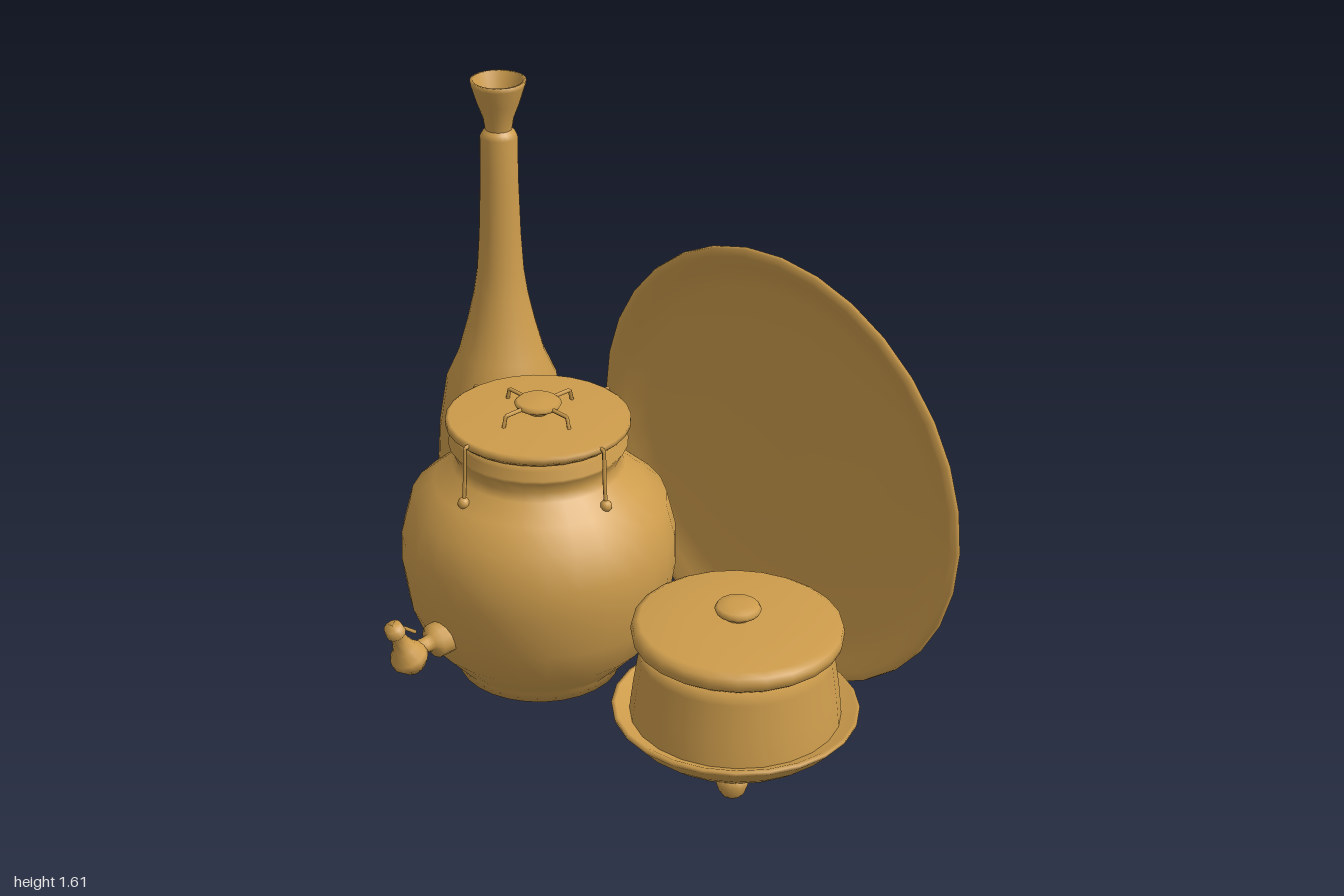
import * as THREE from 'three';

const clay = new THREE.MeshStandardMaterial({ color: 0xcd9c4c });
clay.name = 'ochre clay';

const add = (parent, name, geometry, x = 0, y = 0, z = 0) => {
  const mesh = new THREE.Mesh(geometry, clay);
  mesh.name = name;
  mesh.position.set(x, y, z);
  parent.add(mesh);
  return mesh;
};

// profile is [radius, height] from the bottom axis up to the top axis
const turned = (profile, sides = 24) =>
  new THREE.LatheGeometry(profile.map(([r, y]) => new THREE.Vector2(r, y)), sides);

// thin rod bent through a few points
const rod = (points, radius) => {
  const path = new THREE.CurvePath();
  const v = points.map((p) => new THREE.Vector3(...p));
  for (let i = 1; i < v.length; i++) path.add(new THREE.LineCurve3(v[i - 1], v[i]));
  return new THREE.TubeGeometry(path, 24, radius, 6);
};

const group = (parent, name, x, z) => {
  const g = new THREE.Group();
  g.name = name;
  g.position.set(x, 0, z);
  parent.add(g);
  return g;
};

function buildBottle(root) {
  const bottle = group(root, 'bottle', -0.79, -0.385);
  add(bottle, 'bottleBody', turned([
    [0, 0.01], [0.16, 0.01], [0.165, 0.03], [0.18, 0.07], [0.207, 0.14], [0.209, 0.3], [0.2, 0.47],
    [0.175, 0.63], [0.135, 0.72], [0.105, 0.83], [0.085, 0.92], [0.073, 1.0], [0.065, 1.12],
    [0.059, 1.3], [0.058, 1.44], [0.05, 1.455], [0.04, 1.465],
  ]));
  add(bottle, 'bottleMouth', turned([
    [0.04, 1.455], [0.047, 1.5], [0.066, 1.55], [0.083, 1.605], [0.086, 1.62],
    [0.076, 1.62], [0.055, 1.55], [0.03, 1.49], [0, 1.48],
  ]));
}

function buildJar(root) {
  const jar = group(root, 'jar', -0.195, -0.005);
  add(jar, 'jarBody', turned([
    [0, 0.01], [0.245, 0.01], [0.252, 0.04], [0.28, 0.07], [0.345, 0.14], [0.39, 0.25], [0.41, 0.38],
    [0.408, 0.47], [0.38, 0.58], [0.31, 0.64], [0.255, 0.69], [0.24, 0.715], [0.255, 0.75],
    [0.265, 0.765], [0.245, 0.785], [0.25, 0.82], [0, 0.825],
  ], 28));
  add(jar, 'jarLid', turned([
    [0, 0.81], [0.255, 0.81], [0.272, 0.825], [0.272, 0.84], [0.262, 0.846], [0.1, 0.852], [0, 0.854],
  ], 28));

  // Knob with four bent legs, and four hooks hanging over the rim
  add(jar, 'lidKnob', turned([
    [0, 0.85], [0.028, 0.85], [0.03, 0.872], [0.064, 0.876], [0.07, 0.886], [0.06, 0.895], [0, 0.897],
  ], 16));
  for (let i = 0; i < 4; i++) {
    const arm = group(jar, 'clasp', 0, 0);
    arm.rotation.y = (i * Math.PI) / 2;
    add(arm, 'knobLeg', rod([[0.05, 0.884, 0], [0.125, 0.884, 0], [0.135, 0.845, 0]], 0.006));
    add(arm, 'hook', rod([[0.255, 0.838, 0], [0.282, 0.836, 0], [0.284, 0.74, 0], [0.29, 0.66, 0]], 0.006));
    add(arm, 'hookEnd', new THREE.SphereGeometry(0.018, 10, 8), 0.291, 0.66, 0);
  }

  // Tap
  const tap = group(jar, 'tap', 0.005, 0);
  const stem = add(tap, 'tapStem', turned([
    [0.052, 0], [0.052, 0.045], [0.026, 0.058], [0.023, 0.08], [0.025, 0.12], [0, 0.12],
  ], 12), 0, 0.25, 0.375);
  stem.rotation.x = Math.PI / 2;
  const spout = add(tap, 'tapSpout', turned([
    [0, 0], [0.035, 0.006], [0.057, 0.04], [0.055, 0.06], [0.035, 0.09], [0.025, 0.12],
    [0.022, 0.145], [0.03, 0.155], [0.027, 0.185], [0, 0.188],
  ], 12), 0, 0.192, 0.495);
  spout.rotation.x = 0.43;
  add(tap, 'tapLever', rod([[0, 0.33, 0.56], [0, 0.34, 0.53], [0, 0.31, 0.49]], 0.006));
}

function buildPot(root) {
  const pot = group(root, 'coveredPot', 0.562, -0.08);
  add(pot, 'saucer', turned([
    [0, 0.06], [0.2, 0.06], [0.27, 0.078], [0.31, 0.11], [0.354, 0.158], [0.357, 0.17],
    [0.345, 0.172], [0.31, 0.152], [0.28, 0.15], [0, 0.15],
  ]));
  add(pot, 'potBody', turned([
    [0.305, 0.145], [0.303, 0.17], [0.295, 0.24], [0.28, 0.34], [0.275, 0.39], [0, 0.4],
  ]));
  add(pot, 'potLid', turned([
    [0, 0.385], [0.28, 0.385], [0.3, 0.4], [0.304, 0.42], [0.3, 0.44], [0.28, 0.452], [0.15, 0.462], [0, 0.465],
  ]));
  add(pot, 'potKnob', turned([
    [0.045, 0.455], [0.036, 0.472], [0.062, 0.48], [0.067, 0.49], [0.06, 0.502], [0.03, 0.507], [0, 0.507],
  ], 16));
  // Three turned feet
  for (const [x, z] of [[-0.215, 0.055], [0.155, 0.165], [0.09, -0.155]]) {
    add(pot, 'potFoot', turned([
      [0, 0.018], [0.03, 0.018], [0.038, 0.03], [0.048, 0.06], [0.04, 0.085], [0, 0.095],
    ], 10), x, 0, z);
  }
}

function buildPlate(root) {
  // Unit-radius profile turned to face forward, slightly wider than tall
  const plate = add(root, 'plate', turned([
    [0, -0.085], [0.4, -0.082], [0.7, -0.074], [0.86, -0.06], [0.96, -0.036], [1, -0.014],
    [0.995, 0], [0.96, 0], [0.9, -0.022], [0.8, -0.046], [0.5, -0.058], [0, -0.062],
  ], 32), 0.283, 0.68, -0.497);
  plate.rotation.x = Math.PI / 2;
  plate.scale.set(0.715, 1, 0.67);
}

export function createModel() {
  const root = new THREE.Group();
  root.name = 'potteryStillLife';
  buildBottle(root);
  buildJar(root);
  buildPot(root);
  buildPlate(root);
  return root;
}
